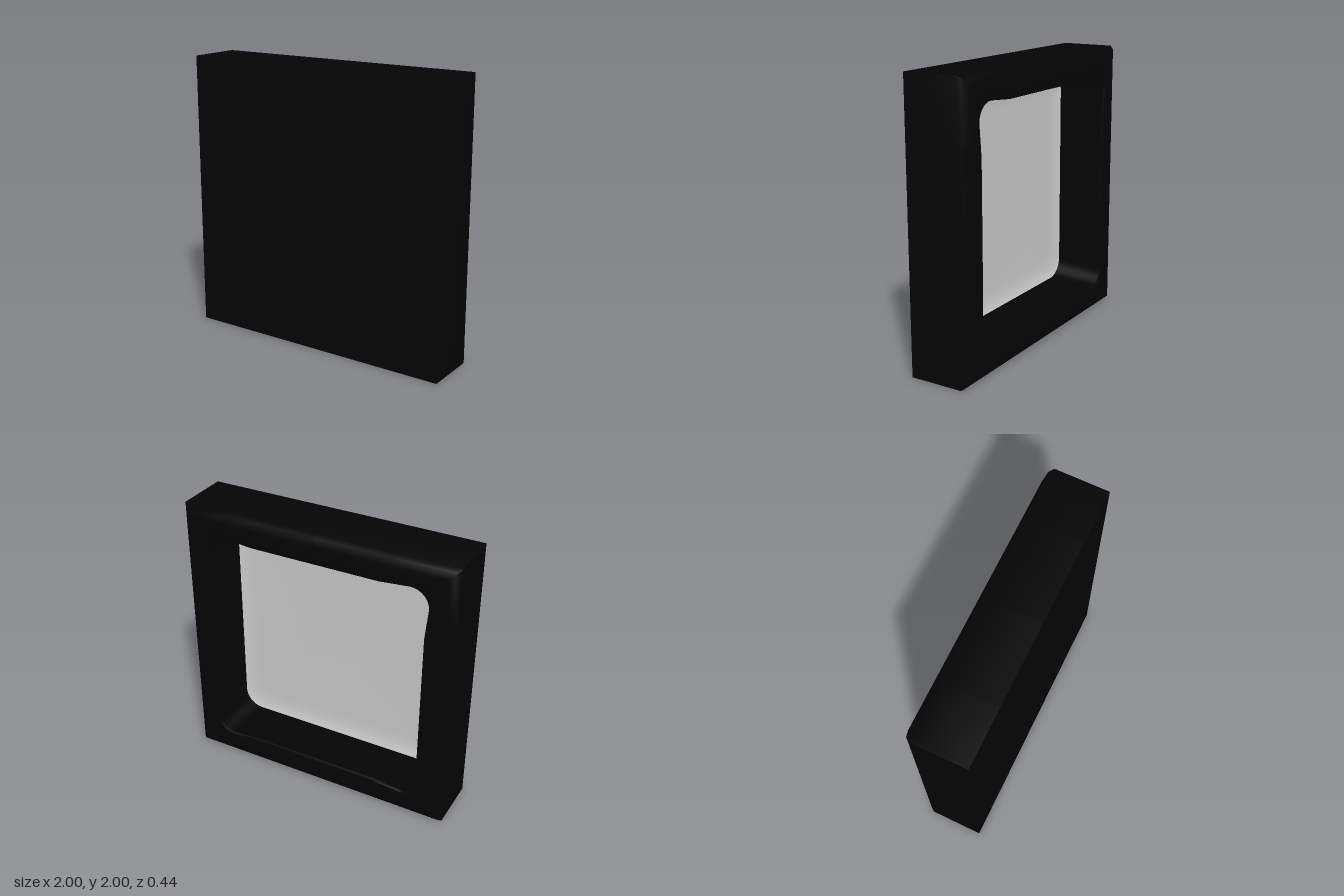
import * as THREE from 'three';
import { toCreasedNormals } from 'three/addons/utils/BufferGeometryUtils.js';

const ARC = 8; // segments in each rounded corner

// Rounded square of half-size h, corner radius r, corners swollen by bulge
function ring([h, z, r, bulge = 0]) {
  const quarter = [[h, -0.59 * h], [h, 0], [h, 0.59 * h]];
  const c = h + bulge - r;
  for (let i = 0; i <= ARC; i++) {
    const a = (i / ARC) * Math.PI / 2;
    quarter.push([c + r * Math.cos(a), c + r * Math.sin(a)]);
  }
  const points = [];
  for (let q = 0; q < 4; q++) {
    for (const p of quarter) {
      let [x, y] = p;
      for (let k = 0; k < q; k++) [x, y] = [-y, x];
      points.push(x, y + 1, z);
    }
  }
  return points;
}

// Skin a list of rings into one surface
function loft(sections) {
  const position = sections.flatMap(ring);
  const n = 4 * (ARC + 4);
  const index = [];
  for (let s = 0; s < sections.length - 1; s++) {
    for (let i = 0; i < n; i++) {
      const a = s * n + i, a1 = s * n + (i + 1) % n;
      index.push(a, a + n, a1, a1, a + n, a1 + n);
    }
  }
  const geometry = new THREE.BufferGeometry();
  geometry.setAttribute('position', new THREE.Float32BufferAttribute(position, 3));
  geometry.setIndex(index);
  geometry.computeVertexNormals();
  return geometry;
}

export function createModel() {
  const group = new THREE.Group();

  // Closed front, square sides, rounded back edge, rim and inner wall
  const frame = new THREE.Mesh(
    toCreasedNormals(loft([
      [0.001, 0.217, 0.0005],
      [1, 0.217, 0.002],
      [1, -0.17, 0.002],
      [0.977, -0.2, 0.004],
      [0.93, -0.218, 0.006],
      [0.81, -0.218, 0.13, 0.02],
      [0.797, -0.207, 0.13, 0.02],
      [0.797, 0, 0.13, 0.01],
      [0.797, 0.142, 0.13],
    ]), 0.75),
    new THREE.MeshStandardMaterial({ color: 0x040404 }));
  frame.name = 'frame';
  group.add(frame);

  // Recessed panel, softly dished where it meets the inner wall
  const panel = new THREE.Mesh(
    loft([
      [0.798, 0.141, 0.13],
      [0.76, 0.155, 0.11],
      [0.71, 0.163, 0.09],
      [0.64, 0.166, 0.07],
      [0.001, 0.166, 0.0005],
    ]),
    new THREE.MeshStandardMaterial({ color: 0xcccccc }));
  panel.name = 'panel';
  group.add(panel);

  return group;
}
